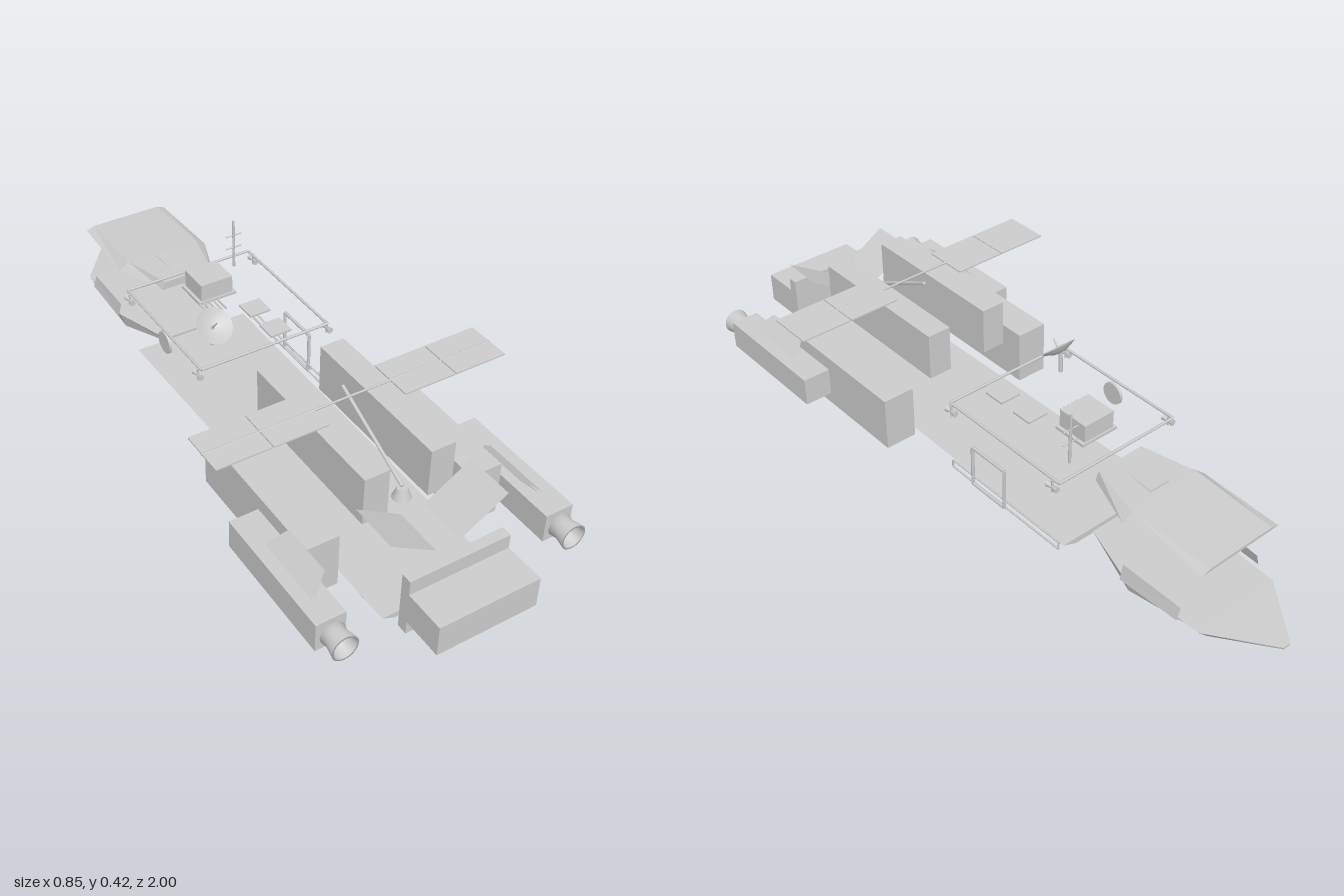
import * as THREE from 'three';

const grey = new THREE.MeshStandardMaterial({ color: 0xcccccc, flatShading: true });
const thin = new THREE.MeshStandardMaterial({ color: 0xcccccc, side: THREE.DoubleSide });

// Hull lofted through trapezoid sections [z, topHalfWidth, bottomHalfWidth, topY, bottomY], z falling
function loft(sections) {
  const rings = sections.map(([z, wt, wb, yt, yb]) => [[wb, yb, z], [wt, yt, z], [-wt, yt, z], [-wb, yb, z]]);
  const pos = [];
  const tri = (a, b, c) => pos.push(...a, ...b, ...c);
  for (let s = 0; s < rings.length - 1; s++) {
    const a = rings[s], b = rings[s + 1];
    for (let i = 0; i < 4; i++) {
      const j = (i + 1) % 4;
      tri(a[i], b[i], a[j]);
      tri(b[i], b[j], a[j]);
    }
  }
  const f = rings[0], r = rings[rings.length - 1];
  tri(f[0], f[1], f[2]); tri(f[0], f[2], f[3]);
  tri(r[0], r[2], r[1]); tri(r[0], r[3], r[2]);
  const g = new THREE.BufferGeometry();
  g.setAttribute('position', new THREE.Float32BufferAttribute(pos, 3));
  g.computeVertexNormals();
  return g;
}

// Flat four-cornered panel
function quad(a, b, c, d) {
  const g = new THREE.BufferGeometry();
  g.setAttribute('position', new THREE.Float32BufferAttribute([...a, ...b, ...c, ...a, ...c, ...d], 3));
  g.computeVertexNormals();
  return g;
}

export function createModel() {
  const model = new THREE.Group();

  const add = (name, geo, mat = grey, p = [0, 0, 0]) => {
    const m = new THREE.Mesh(geo, mat);
    m.name = name;
    m.position.set(...p);
    model.add(m);
    return m;
  };
  // Box given by its low and high limits on each axis
  const box = (name, [x0, x1], [y0, y1], [z0, z1]) =>
    add(name, new THREE.BoxGeometry(x1 - x0, y1 - y0, z1 - z0), grey,
      [(x0 + x1) / 2, (y0 + y1) / 2, (z0 + z1) / 2]);
  // Thin round bar between two points
  const bar = (name, a, b, r = 0.004) => {
    const p = new THREE.Vector3(...a), q = new THREE.Vector3(...b);
    const m = add(name, new THREE.CylinderGeometry(r, r, p.distanceTo(q), 8), thin,
      p.clone().lerp(q, 0.5).toArray());
    m.quaternion.setFromUnitVectors(new THREE.Vector3(0, 1, 0), q.sub(p).normalize());
  };
  const loop = (name, pts, r) => pts.forEach((p, i) => bar(name, p, pts[(i + 1) % pts.length], r));
  // Limits mirrored across x
  const mx = (s, a, b) => (s > 0 ? [a, b] : [-b, -a]);

  // Deck and feet
  add('deck', loft([[0.82, 0.165, 0.13, 0.05, 0.034], [0.02, 0.175, 0.135, 0.05, 0.032], [-0.41, 0.18, 0.135, 0.05, 0.032]]));
  for (const x of [-0.12, 0.12])
    for (const z of [0.71, -0.3])
      add('foot', new THREE.CylinderGeometry(0.019, 0.025, 0.026, 20), thin, [x, 0.022, z]);

  // Tail hull and its separate roof
  add('tailHull', loft([[-0.42, 0.085, 0.06, 0.05, 0.02], [-0.6, 0.145, 0.13, 0.05, 0.002],
    [-0.84, 0.135, 0.1, 0.047, 0.012], [-1, 0.012, 0.01, 0.04, 0.034]]));
  add('tailRoof', loft([[-0.42, 0.075, 0.085, 0.25, 0.226], [-0.58, 0.115, 0.145, 0.246, 0.223],
    [-0.83, 0.11, 0.135, 0.235, 0.226]]));

  // Front block: bulkhead and box
  box('bulkhead', [-0.145, 0.145], [0.05, 0.222], [0.855, 0.885]);
  box('frontBox', [-0.145, 0.145], [0.09, 0.18], [0.885, 1]);

  for (const s of [1, -1]) {
    add('tailSidePanel', quad([s * 0.155, 0.05, -0.59], [s * 0.148, 0.05, -0.78],
      [s * 0.138, 0.086, -0.78], [s * 0.145, 0.095, -0.59]), thin);
    // Storage pods and engines
    box('upperPod', mx(s, 0.06, 0.132), [0.22, 0.36], [0.195, 0.675]);
    box('sidePod', mx(s, 0.195, 0.29), [0.055, 0.216], [0.195, 0.675]);
    box('enginePod', mx(s, 0.292, 0.375), [0.093, 0.177], [0.465, 0.85]);
    const profile = [[0.022, 0.85], [0.034, 0.856], [0.03, 0.875], [0.037, 0.908], [0.031, 0.908], [0.025, 0.86], [0, 0.856]]
      .map(([r, z]) => new THREE.Vector2(r, z));
    const nozzle = add('engineNozzle', new THREE.LatheGeometry(profile, 28), thin, [s * 0.333, 0.136, 0]);
    nozzle.rotation.x = Math.PI / 2;

    // Sloping fairing above the engine
    add('engineFairing', quad([s * 0.33, 0.178, 0.575], [s * 0.33, 0.178, 0.78],
      [s * 0.287, 0.218, 0.75], [s * 0.287, 0.218, 0.6]), thin);
    add('engineFairingInner', quad([s * 0.34, 0.178, 0.575], [s * 0.34, 0.178, 0.78],
      [s * 0.292, 0.22, 0.75], [s * 0.292, 0.22, 0.6]), thin);

    // Raised front panels, tilted outward
    add('frontPanel', quad([s * 0.035, 0.222, 0.695], [s * 0.035, 0.222, 0.835],
      [s * 0.168, 0.304, 0.835], [s * 0.168, 0.304, 0.695]), thin);

    // Solar wing in two sections
    for (const x of [0.112, 0.269])
      box('solarPanel', mx(s, x, x + 0.154), [0.386, 0.39], [0.362, 0.495]);
  }

  // Solar wing spar and leaning mast
  bar('solarSpar', [-0.425, 0.388, 0.43], [0.425, 0.388, 0.43], 0.003);
  bar('solarMast', [0, 0.26, 0.65], [0, 0.387, 0.385], 0.005);
  add('mastBase', new THREE.CylinderGeometry(0.014, 0.025, 0.03, 20), grey, [0, 0.24, 0.65]);

  // Upper equipment frame with corner thrusters
  loop('upperFrame', [[-0.2, 0.272, 0.02], [0.2, 0.272, 0.02], [0.2, 0.272, -0.41], [-0.2, 0.272, -0.41]]);
  for (const x of [-0.205, 0.205])
    for (const z of [0.01, -0.39]) {
      bar('thrusterStem', [x, 0.272, z], [x, 0.235, z], 0.003);
      for (const d of [-0.009, 0.009]) {
        const t = add('thruster', new THREE.CylinderGeometry(0.004, 0.009, 0.018, 12), thin, [x, 0.251, z + d]);
        t.rotation.x = d > 0 ? -Math.PI / 2 : Math.PI / 2;
      }
    }

  // Lower side rail and ladder loop on one side, hatch disc on the other
  loop('lowerRail', [[0.197, 0.05, 0.02], [0.197, 0.05, -0.41], [0.197, 0.073, -0.41], [0.197, 0.073, 0.02]], 0.003);
  loop('sideLoop', [[0.2, 0.05, -0.07], [0.2, 0.175, -0.07], [0.2, 0.175, -0.2], [0.2, 0.05, -0.2]], 0.005);
  const disc = add('hatchDisc', new THREE.CylinderGeometry(0.033, 0.033, 0.008, 28), grey, [-0.198, 0.228, -0.19]);
  disc.rotation.z = Math.PI / 2;

  // Equipment on the frame
  box('instrumentBox', [-0.05, 0.05], [0.278, 0.33], [-0.34, -0.245]);
  box('instrumentBase', [-0.06, 0.06], [0.27, 0.278], [-0.345, -0.24]);
  for (let i = 0; i < 5; i++)
    bar('instrumentProng', [-0.058 + i * 0.014, 0.272, -0.25], [-0.058 + i * 0.014, 0.272, -0.19], 0.003);
  for (const z of [-0.15, -0.04])
    box('flatTray', [0.035, 0.1], [0.268, 0.274], [z - 0.032, z + 0.032]);
  add('sensorCone', new THREE.CylinderGeometry(0.045, 0.02, 0.022, 20), grey, [0, 0.259, -0.29]);
  add('rearSeat', loft([[-0.42, 0.022, 0.035, 0.248, 0.226], [-0.56, 0.03, 0.045, 0.251, 0.226]]));

  // Dish on a short stand
  const dish = new THREE.Group();
  dish.name = 'dish';
  const bowl = [[0, -0.018], [0.02, -0.015], [0.038, -0.007], [0.052, 0]].map(([r, y]) => new THREE.Vector2(r, y));
  const bowlMesh = new THREE.Mesh(new THREE.LatheGeometry(bowl, 32), thin);
  bowlMesh.name = 'dishBowl';
  const feed = new THREE.Mesh(new THREE.CylinderGeometry(0.002, 0.003, 0.045, 8), thin);
  feed.name = 'dishFeed';
  feed.position.y = 0.004;
  dish.add(bowlMesh, feed);
  dish.position.set(-0.118, 0.342, -0.05);
  dish.rotation.x = 0.72;
  model.add(dish);
  bar('dishStand', [-0.118, 0.27, -0.065], [-0.118, 0.332, -0.062], 0.006);

  // Antenna with crossbars
  bar('antenna', [0.125, 0.27, -0.365], [0.125, 0.425, -0.365], 0.004);
  for (const y of [0.335, 0.376])
    bar('antennaCrossbar', [0.1, y, -0.365], [0.15, y, -0.365], 0.002);

  return model;
}
